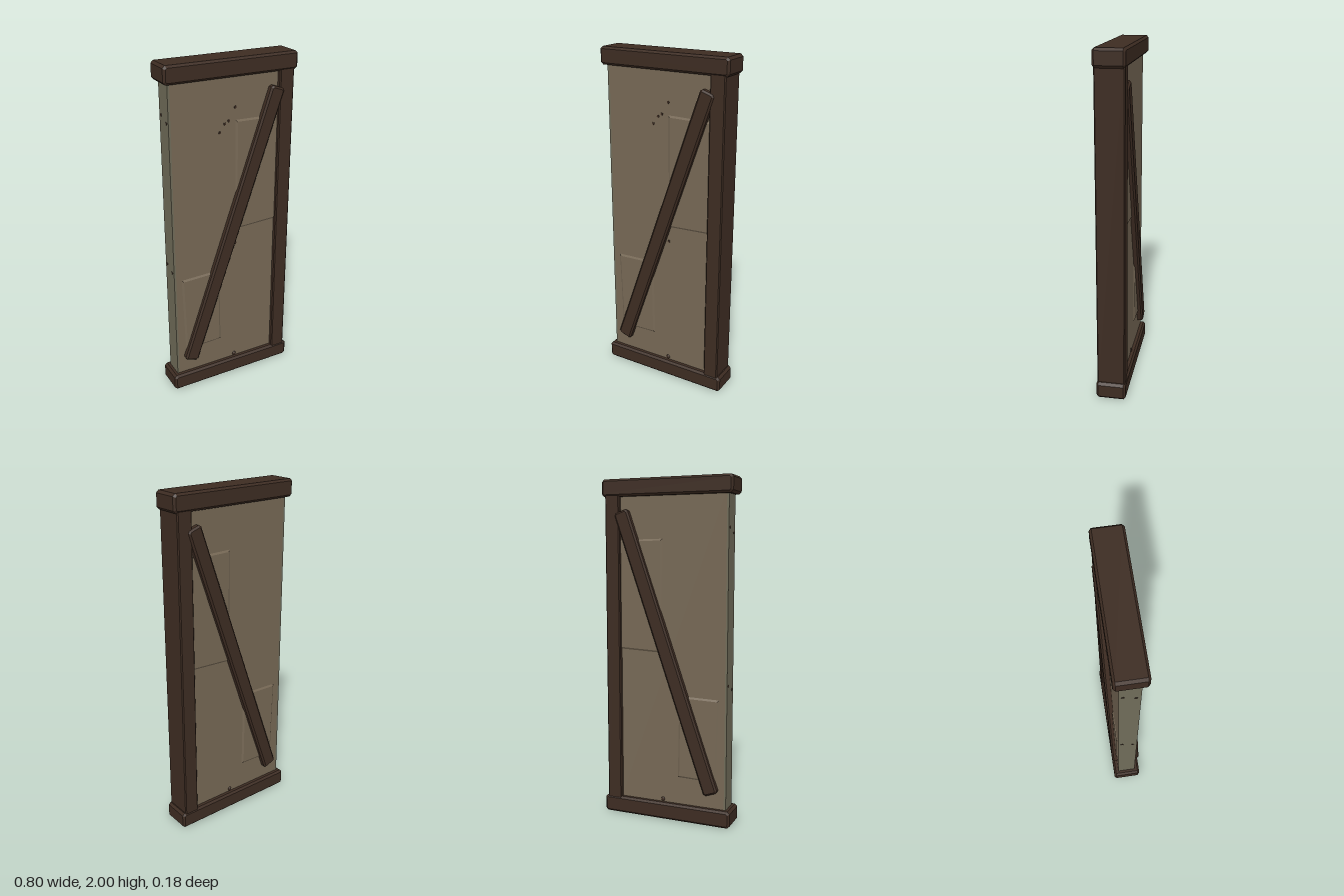
import * as THREE from 'three';

const mat = (name, color, side = THREE.FrontSide) => {
  const m = new THREE.MeshStandardMaterial({ color, side });
  m.name = name;
  return m;
};

// Box with chamfered edges, centred on the origin
function chamferBox(w, h, d, c) {
  const x = w / 2 - c, y = h / 2 - c, k = c * 0.6;
  const s = new THREE.Shape([
    [-x + k, -y], [x - k, -y], [x, -y + k], [x, y - k],
    [x - k, y], [-x + k, y], [-x, y - k], [-x, -y + k],
  ].map(p => new THREE.Vector2(...p)));
  const g = new THREE.ExtrudeGeometry(s, {
    depth: d - 2 * c, bevelEnabled: true, bevelThickness: c, bevelSize: c, bevelSegments: 1,
  });
  return g.translate(0, 0, c - d / 2);
}

// Slightly skewed raised plaster patch with a sloping rim
function patch(corners, depth) {
  const s = new THREE.Shape(corners.map(p => new THREE.Vector2(...p)));
  const g = new THREE.ExtrudeGeometry(s, {
    depth: depth * 2 - 0.016, bevelEnabled: true, bevelThickness: 0.008,
    bevelSize: 0.012, bevelOffset: -0.012, bevelSegments: 1,
  });
  return g.translate(0, 0, 0.008 - depth);
}

export function createModel() {
  const model = new THREE.Group();
  model.name = 'timberWallPanel';
  const wood = mat('darkWood', 0x3d2c22);
  const plaster = mat('plaster', 0x766855);
  const edge = mat('plasterEdge', 0x706c59);

  const add = (name, geo, material, x = 0, y = 0, z = 0) => {
    const m = new THREE.Mesh(geo, material);
    m.name = name;
    m.position.set(x, y, z);
    model.add(m);
    return m;
  };

  // Timber frame
  add('bottomBeam', chamferBox(0.8, 0.1, 0.172, 0.012), wood, 0, 0.05);
  add('topBeam', chamferBox(0.8, 0.1, 0.172, 0.012), wood, 0, 1.95);
  add('sidePost', chamferBox(0.09, 1.84, 0.162, 0.006), wood, 0.335, 1);
  const brace = add('diagonalBrace', chamferBox(0.088, 1.72, 0.18, 0.01), wood, -0.003, 1.003);
  brace.rotation.z = -Math.atan2(0.565, 1.625);

  // Plaster infill and its exposed end
  add('plasterInfill', new THREE.BoxGeometry(0.66, 1.84, 0.11), plaster, -0.028, 1);
  add('infillEdge', new THREE.BoxGeometry(0.012, 1.84, 0.11), edge, -0.364, 1);

  // Raised patches showing on both faces
  add('upperPatch', patch([[0.03, 1], [0.3, 1.012], [0.3, 1.655], [0.025, 1.66]], 0.062), plaster);
  add('lowerPatch', patch([[-0.31, 0.255], [-0.07, 0.262], [-0.077, 0.755], [-0.325, 0.748]], 0.062), plaster);

  // Small chips in the plaster
  const chip = new THREE.CylinderGeometry(0.008, 0.01, 0.004, 5).rotateX(Math.PI / 2);
  [[0.025, 1.73], [-0.015, 1.66], [-0.04, 1.645], [-0.07, 1.6], [0.03, 0.91]].forEach(([x, y]) =>
    add('plasterChip', chip, wood, x, y, 0.055));
  for (const s of [1, -1]) add('baseChip', new THREE.SphereGeometry(0.015, 6, 4), wood, 0.025, 0.115, s * 0.05);
  [[1.72, -0.035], [1.69, 0.03], [0.83, -0.035], [0.8, 0.03]].forEach(([y, z]) => {
    add('edgeChip', chip, wood, -0.37, y, z).rotation.y = -Math.PI / 2;
  });
  return model;
}
